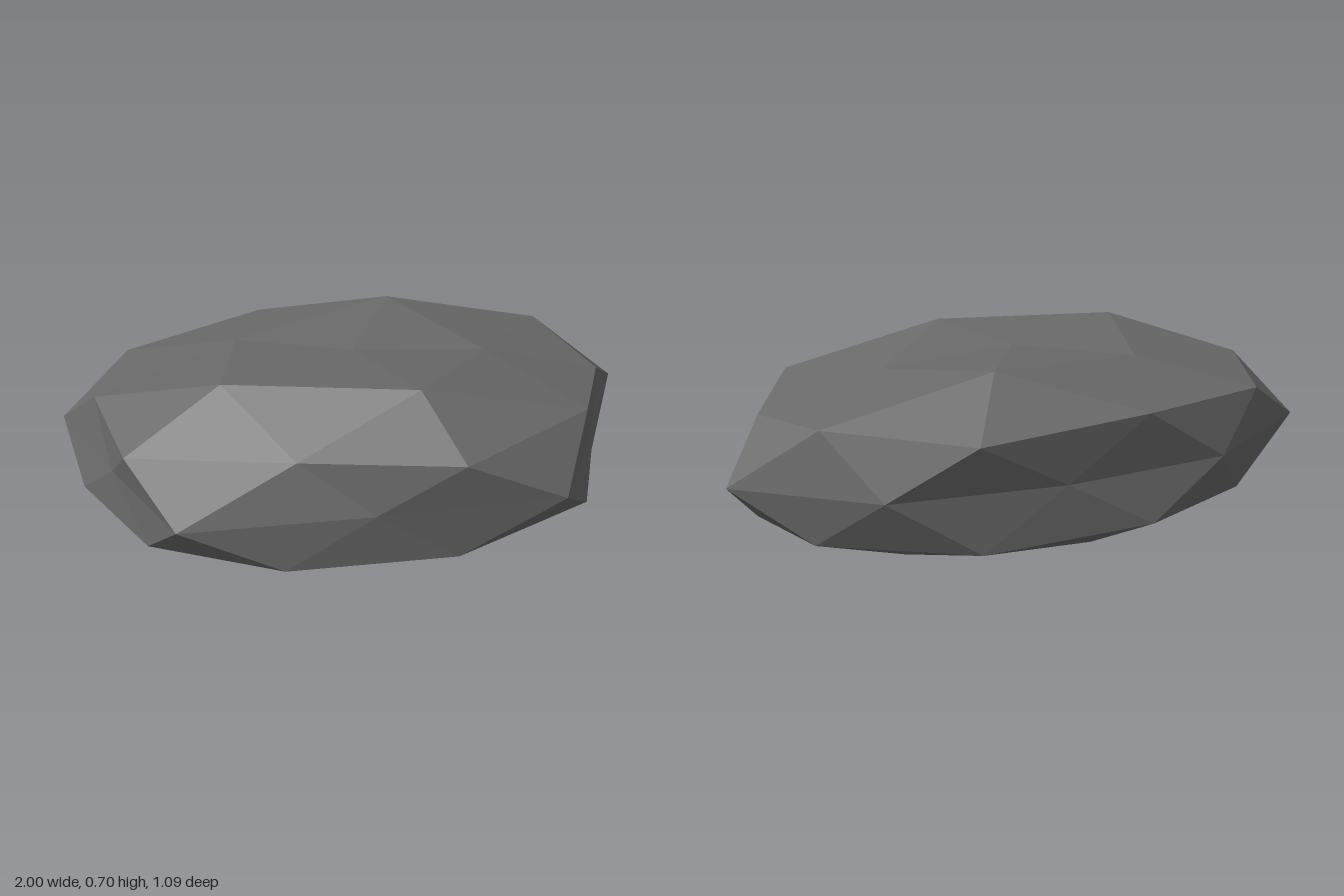
import * as THREE from 'three';

// Hollows in the stone: direction on the unit sphere, then how far that corner is pulled in
const dents = [
  [0, 1, 0, 0.79],
  [0.526, 0.851, 0, 0.82],
  [-0.425, 0.851, -0.309, 0.85],
  [0.894, 0.447, 0, 0.92],
  [-0.851, 0.526, 0, 0.963],
  [-0.263, 0.526, 0.809, 0.85],
  [0.276, 0.447, 0.851, 0.97],
  [0, 0, 1, 0.82],
  [0, 0, -1, 0.82],
  [-0.526, -0.851, 0, 0.82],
];
for (const side of [-1, 1]) {
  dents.push([side * 0.951, 0, 0.309, 0.82], [side * 0.588, 0, -0.809, 0.92]);
}

export function createModel() {
  const group = new THREE.Group();
  group.name = 'rock';

  // Faceted sphere turned so that one corner points straight up
  const geometry = new THREE.IcosahedronGeometry(1, 1);
  geometry.rotateZ(-Math.atan(2 / (1 + Math.sqrt(5))));

  // Pull the dented corners towards the centre
  const position = geometry.attributes.position;
  const v = new THREE.Vector3();
  for (let i = 0; i < position.count; i++) {
    v.fromBufferAttribute(position, i);
    const dent = dents.find(([x, y, z]) => v.x * x + v.y * y + v.z * z > 0.97);
    if (dent) v.multiplyScalar(dent[3]);
    position.setXYZ(i, v.x, v.y, v.z);
  }

  // Flatten to a wide, low stone standing on the ground
  geometry.scale(1.0515, 0.38, 0.64);
  geometry.translate(0, 0.38, 0);
  geometry.computeVertexNormals();

  const stoneGrey = new THREE.MeshStandardMaterial({ color: 0x6a6a6a });
  stoneGrey.name = 'stoneGrey';
  stoneGrey.flatShading = true;
  const stone = new THREE.Mesh(geometry, stoneGrey);
  stone.name = 'stone';
  group.add(stone);
  return group;
}
